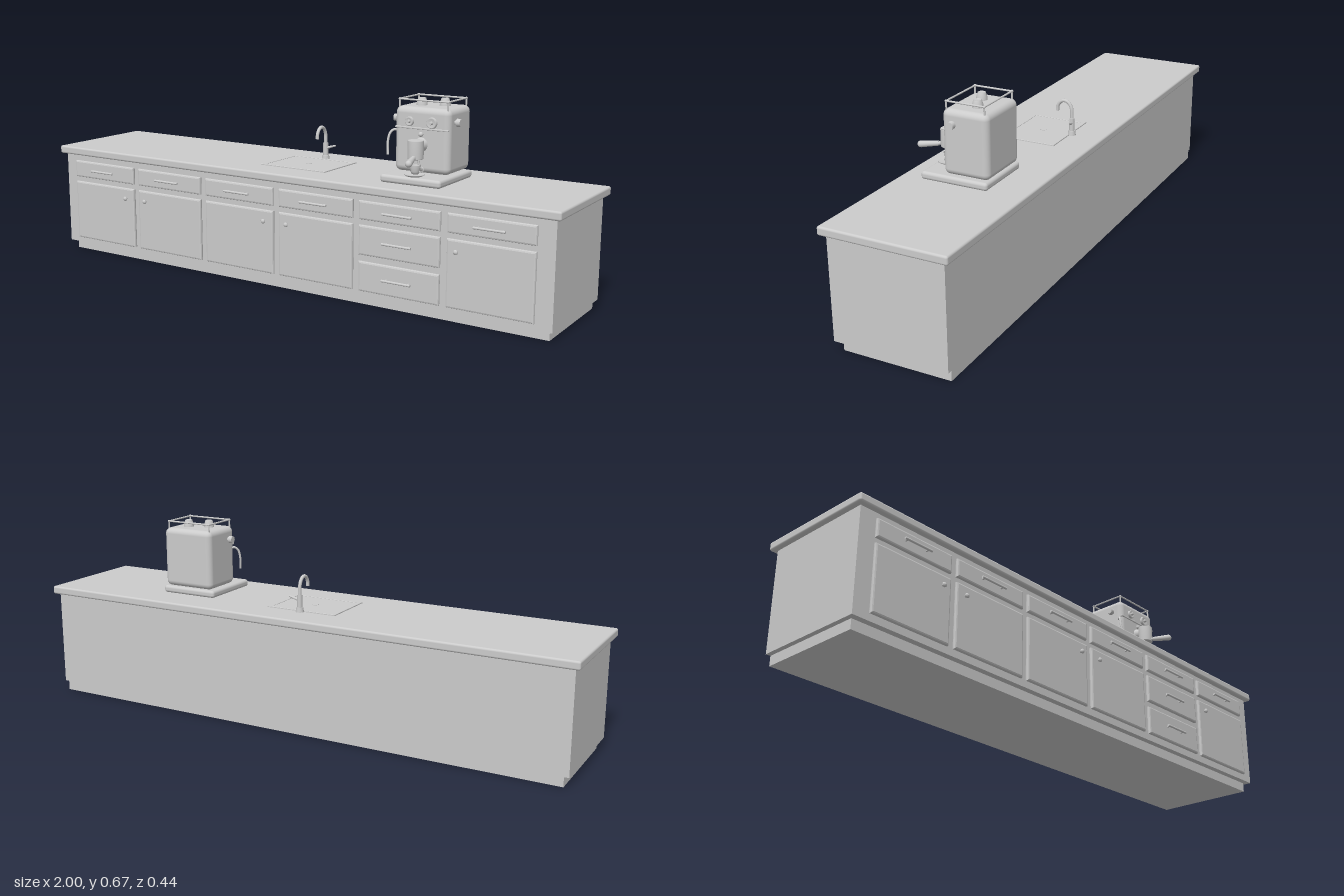
import * as THREE from 'three';
import { RoundedBoxGeometry } from 'three/addons/geometries/RoundedBoxGeometry.js';

const grey = new THREE.MeshStandardMaterial({ color: 0xcccccc, side: THREE.DoubleSide });
const V = (x, y, z) => new THREE.Vector3(x, y, z);

function add(parent, name, geometry, x = 0, y = 0, z = 0) {
  const mesh = new THREE.Mesh(geometry, grey);
  mesh.name = name;
  mesh.position.set(x, y, z);
  parent.add(mesh);
  return mesh;
}

function group(parent, name, x = 0, y = 0, z = 0) {
  const g = new THREE.Group();
  g.name = name;
  g.position.set(x, y, z);
  parent.add(g);
  return g;
}

const box = (w, h, d) => new THREE.BoxGeometry(w, h, d);
const cyl = (r1, r2, h, n = 24) => new THREE.CylinderGeometry(r1, r2, h, n);
const lathe = (pts, n = 24) => new THREE.LatheGeometry(pts.map(p => new THREE.Vector2(...p)), n);
const tube = (pts, r, n = 24) => new THREE.TubeGeometry(new THREE.CatmullRomCurve3(pts), n, r, 12);

// Straight round bar between two points
function rod(parent, name, a, b, r1, r2 = r1) {
  const mesh = add(parent, name, cyl(r2, r1, a.distanceTo(b), 16));
  mesh.position.copy(a).add(b).multiplyScalar(0.5);
  mesh.quaternion.setFromUnitVectors(V(0, 1, 0), b.clone().sub(a).normalize());
  return mesh;
}

function rectangle(w, h, Type = THREE.Shape) {
  const s = new Type();
  s.moveTo(-w / 2, -h / 2);
  s.lineTo(w / 2, -h / 2);
  s.lineTo(w / 2, h / 2);
  s.lineTo(-w / 2, h / 2);
  s.closePath();
  return s;
}

// Door or drawer slab with chamfered edges, front face at z = 0.204
function panel(parent, name, x, y0, y1) {
  const b = 0.006;
  const geo = new THREE.ExtrudeGeometry(rectangle(0.29 - 2 * b, y1 - y0 - 2 * b),
    { depth: 0.004, bevelThickness: 0.005, bevelSize: b, bevelSegments: 2 });
  add(parent, name, geo, x, (y0 + y1) / 2, 0.195);
}

function barHandle(parent, x, y) {
  const g = group(parent, 'drawerHandle', x, y, 0);
  rod(g, 'handleBar', V(-0.052, 0, 0.216), V(0.052, 0, 0.216), 0.004);
  for (const s of [-1, 1]) rod(g, 'handlePost', V(s * 0.04, 0, 0.2), V(s * 0.04, 0, 0.216), 0.003);
}

function doorKnob(parent, x, y) {
  const knob = add(parent, 'doorKnob',
    lathe([[0.004, 0], [0.004, 0.005], [0.008, 0.008], [0.008, 0.011], [0.005, 0.014], [0, 0.015]], 16), x, y, 0.202);
  knob.rotation.x = Math.PI / 2;
}

function buildCabinet(root) {
  const g = group(root, 'cabinet');
  add(g, 'toeKick', box(1.932, 0.034, 0.368), 0, 0.017, -0.016);
  add(g, 'carcass', box(1.964, 0.344, 0.39), 0, 0.205, -0.005);
  add(g, 'countertop', new RoundedBoxGeometry(2, 0.029, 0.43, 3, 0.007), 0, 0.3905, -0.005);
  for (let i = 0; i < 6; i++) {
    const x = (i - 2.5) * 0.313;
    panel(g, 'drawerFront', x, 0.292, 0.354);
    barHandle(g, x, 0.323);
    if (i === 4) {
      // Column with a stack of drawers
      for (const [y0, y1, y] of [[0.175, 0.274, 0.226], [0.054, 0.154, 0.106]]) {
        panel(g, 'drawerFront', x, y0, y1);
        barHandle(g, x, y);
      }
    } else {
      panel(g, 'door', x, 0.054, 0.274);
      doorKnob(g, x + (i === 0 || i === 2 ? 0.11 : -0.11), 0.237);
    }
  }
}

function buildSink(root) {
  const g = group(root, 'sink', 0, 0.405, 0);
  const rim = rectangle(0.26, 0.204);
  rim.holes.push(rectangle(0.236, 0.18, THREE.Path));
  add(g, 'sinkRim', new THREE.ExtrudeGeometry(rim,
    { depth: 0.003, bevelThickness: 0.001, bevelSize: 0.001, bevelSegments: 1 })).rotation.x = -Math.PI / 2;
  add(g, 'basin', box(0.238, 0.002, 0.182), 0, 0.001, 0);
  add(g, 'drain', cyl(0.012, 0.012, 0.001), 0, 0.0025, 0);

  // Goose-neck tap with a side lever
  const f = group(g, 'faucet', 0, 0, -0.108);
  add(f, 'faucetBase', cyl(0.012, 0.014, 0.016), 0, 0.008, 0);
  add(f, 'faucetBody', cyl(0.009, 0.009, 0.05), 0, 0.035, 0);
  add(f, 'faucetSpout', tube([V(0, 0.03, 0), V(0, 0.07, 0), V(0, 0.095, 0.002), V(0, 0.113, 0.013),
    V(0, 0.119, 0.028), V(0, 0.113, 0.043), V(0, 0.098, 0.053), V(0, 0.08, 0.055)], 0.006, 40));
  rod(f, 'faucetLever', V(0.005, 0.042, 0), V(0.038, 0.052, -0.005), 0.005, 0.003);
}

function buildCoffeeMachine(root) {
  const g = group(root, 'coffeeMachine', 0.468, 0, 0);
  add(g, 'baseTray', new RoundedBoxGeometry(0.216, 0.026, 0.234, 4, 0.01), 0, 0.419, 0.018);
  add(g, 'machineBody', new RoundedBoxGeometry(0.197, 0.211, 0.159, 5, 0.02), 0, 0.539, -0.021);
  add(g, 'controlShelf', new RoundedBoxGeometry(0.19, 0.006, 0.012, 2, 0.002), 0, 0.578, 0.056);

  // Cup rail around the top
  const r = group(g, 'cupRail');
  const corners = [[-0.086, 0.047], [0.086, 0.047], [0.086, -0.084], [-0.086, -0.084]];
  corners.forEach(([x, z], i) => {
    const [nx, nz] = corners[(i + 1) % 4];
    rod(r, 'railPost', V(x, 0.635, z), V(x, 0.668, z), 0.003);
    rod(r, 'railBar', V(x, 0.667, z), V(nx, 0.667, nz), 0.003);
    add(r, 'railCorner', new THREE.SphereGeometry(0.0045, 12, 8), x, 0.667, z);
  });

  // Upturned cups
  for (const [x, z] of [[-0.034, -0.007], [0.036, -0.033]]) {
    add(g, 'storedCup', lathe([[0.018, 0], [0.017, 0.01], [0.013, 0.024], [0.011, 0.025], [0.01, 0.023], [0, 0.023]]),
      x, 0.644, z);
  }

  // Front dials
  for (const [x, radius] of [[-0.042, 0.015], [0.038, 0.018]]) {
    const dial = group(g, 'dial', x, 0.599, 0.055);
    dial.rotation.x = Math.PI / 2;
    add(dial, 'dialRim', lathe([[radius, 0], [radius, 0.01], [radius - 0.003, 0.013], [radius - 0.004, 0.01], [0, 0.01]]));
    add(dial, 'dialHub', cyl(0.005, 0.006, 0.012, 16), 0, 0.014, 0);
  }
  add(g, 'brewButton', new THREE.SphereGeometry(0.008, 16, 10), 0, 0.56, 0.062);

  // Side valves and steam wand
  for (const s of [-1, 1]) {
    rod(g, 'valveStem', V(s * 0.09, 0.601, 0.018), V(s * 0.107, 0.601, 0.018), 0.007);
    rod(g, 'valveKnob', V(s * 0.105, 0.601, 0.018), V(s * 0.119, 0.601, 0.018), 0.013, 0.012);
  }
  add(g, 'steamWand', tube([V(-0.09, 0.563, 0.04), V(-0.103, 0.566, 0.052), V(-0.112, 0.555, 0.062),
    V(-0.116, 0.525, 0.069), V(-0.112, 0.485, 0.074)], 0.004));

  // Brew head and portafilter
  rod(g, 'brewNeck', V(0, 0.527, 0.05), V(0, 0.527, 0.084), 0.026, 0.015);
  add(g, 'brewHead', lathe([[0, -0.03], [0.024, -0.03], [0.026, -0.028], [0.026, 0.028], [0.024, 0.03], [0, 0.03]], 32),
    0, 0.516, 0.095);
  const p = group(g, 'portafilter', 0, 0, 0.095);
  p.rotation.y = 0.26;
  rod(p, 'handleNeck', V(0, 0.495, 0.02), V(0, 0.492, 0.04), 0.006);
  rod(p, 'handleGrip', V(0, 0.493, 0.032), V(0, 0.486, 0.092), 0.008, 0.011);
  add(p, 'handleEnd', new THREE.SphereGeometry(0.011, 16, 12), 0, 0.486, 0.092);
  for (const s of [-1, 1]) rod(p, 'spout', V(s * 0.008, 0.488, 0), V(s * 0.011, 0.472, 0), 0.005, 0.004);

  // Cup on its saucer
  add(g, 'saucer', lathe([[0, 0], [0.024, 0], [0.033, 0.005], [0.032, 0.007], [0.02, 0.004], [0, 0.004]], 32), 0, 0.431, 0.1);
  add(g, 'cup', lathe([[0, 0], [0.011, 0], [0.015, 0.008], [0.018, 0.028], [0.016, 0.028], [0.013, 0.008], [0, 0.005]]),
    0, 0.438, 0.095);
  add(g, 'cupHandle', new THREE.TorusGeometry(0.008, 0.002, 8, 20), 0.021, 0.453, 0.095);
}

export function createModel() {
  const root = new THREE.Group();
  root.name = 'kitchenCounter';
  buildCabinet(root);
  buildSink(root);
  buildCoffeeMachine(root);
  return root;
}
